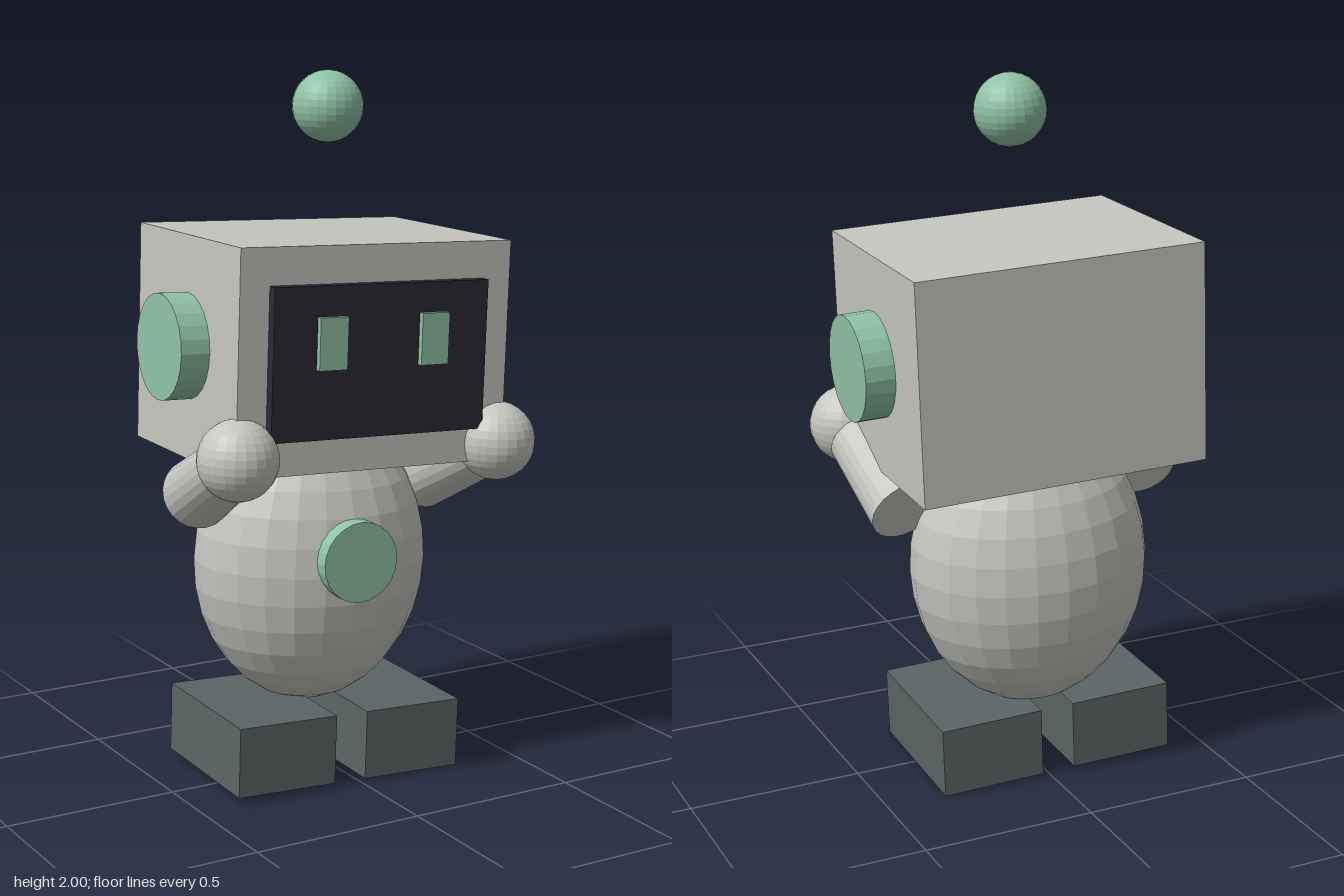
import * as THREE from 'three';

export function createModel() {
  const mat = (name, color) => {
    const m = new THREE.MeshStandardMaterial({ color, flatShading: true });
    m.name = name;
    return m;
  };
  const shell = mat('shell grey', 0xc6c6c0);
  const mint = mat('mint green', 0x8fc3a4);
  const slate = mat('slate', 0x5b6565);
  const dark = mat('screen black', 0x2b2a35);

  const robot = new THREE.Group();
  robot.name = 'robot';

  const add = (name, geometry, material, x, y, z) => {
    const mesh = new THREE.Mesh(geometry, material);
    mesh.name = name;
    mesh.position.set(x, y, z);
    robot.add(mesh);
    return mesh;
  };

  // Head with a raised screen
  add('head', new THREE.BoxGeometry(0.835, 0.62, 0.645), shell, 0, 1.241, -0.052);
  add('screen', new THREE.BoxGeometry(0.66, 0.418, 0.05), dark, 0, 1.239, 0.276);

  // Floating antenna ball
  add('antennaBall', new THREE.SphereGeometry(0.1, 24, 16), mint, 0, 1.9, -0.05);

  // Egg-shaped body and round chest button
  add('body', new THREE.SphereGeometry(1, 24, 16), shell, 0, 0.61, -0.077).scale.set(0.348, 0.425, 0.28);
  const button = new THREE.CylinderGeometry(0.115, 0.115, 0.05, 24).rotateX(Math.PI / 2);
  add('chestButton', button, mint, 0, 0.657, 0.203);

  // Paired parts, mirrored left (+x) and right (-x)
  for (const [side, s] of [['left', 1], ['right', -1]]) {
    add(side + 'Eye', new THREE.BoxGeometry(0.085, 0.143, 0.03), mint, s * 0.157, 1.293, 0.303);

    const ear = new THREE.CylinderGeometry(0.148, 0.148, 0.1, 24).rotateZ(Math.PI / 2);
    add(side + 'Ear', ear, mint, s * 0.452, 1.246, -0.05);

    add(side + 'Foot', new THREE.BoxGeometry(0.302, 0.2, 0.457), slate, s * 0.2, 0.112, -0.022);

    // Tapered arm reaching forward and up to the hand
    const shoulder = new THREE.Vector3(s * 0.365, 0.82, -0.074);
    const hand = new THREE.Vector3(s * 0.405, 0.983, 0.258);
    const reach = hand.clone().sub(shoulder);
    const mid = shoulder.clone().add(hand).multiplyScalar(0.5);
    const arm = add(side + 'Arm', new THREE.CylinderGeometry(0.084, 0.101, reach.length(), 24), shell, mid.x, mid.y, mid.z);
    arm.quaternion.setFromUnitVectors(new THREE.Vector3(0, 1, 0), reach.normalize());
    add(side + 'Hand', new THREE.SphereGeometry(0.112, 24, 16), shell, hand.x, hand.y, hand.z);
  }

  // Slight lean and turn of the whole figure
  robot.rotation.set(0, -0.035, -0.035);
  robot.position.x = -0.033;

  const model = new THREE.Group();
  model.add(robot);
  return model;
}
